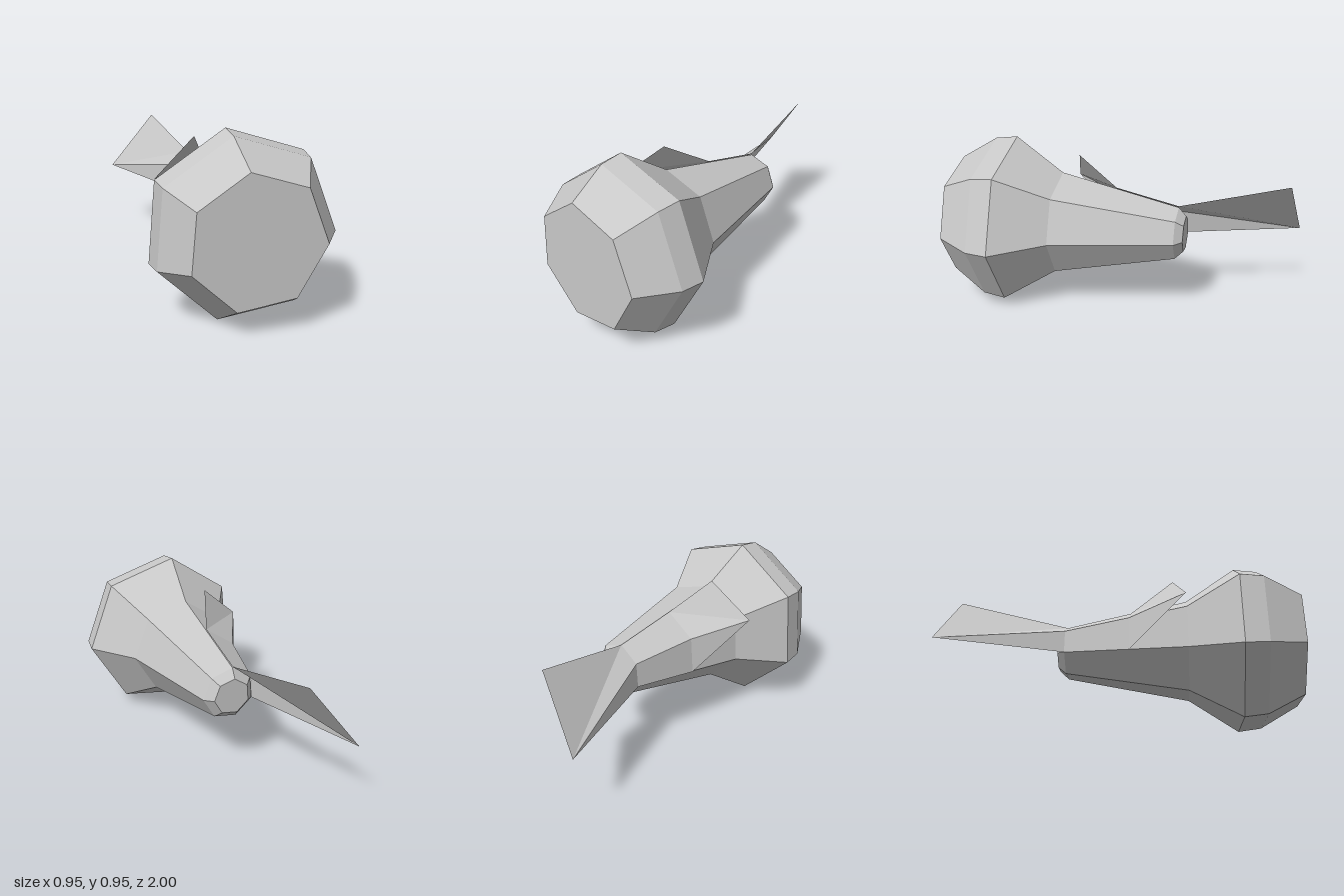
import * as THREE from 'three';

const SIDES = 7;
const CX = -0.016, CY = 0.472;
const START = THREE.MathUtils.degToRad(98.1);

// Corner i of a seven-sided ring
function corner(i, radius, z) {
  const a = START + (i * Math.PI * 2) / SIDES;
  return [CX + radius * Math.cos(a), CY + radius * Math.sin(a), z];
}

// Flat-faced geometry from a list of polygons, each cut as a fan
function facets(polygons) {
  const pos = [];
  for (const p of polygons) {
    for (let i = 1; i < p.length - 1; i++) pos.push(...p[0], ...p[i], ...p[i + 1]);
  }
  const g = new THREE.BufferGeometry();
  g.setAttribute('position', new THREE.Float32BufferAttribute(pos, 3));
  g.computeVertexNormals();
  return g;
}

export function createModel() {
  const group = new THREE.Group();
  const grey = new THREE.MeshStandardMaterial({ color: 0xc8c8c8, flatShading: true });
  grey.name = 'plain grey';
  const greyThin = grey.clone();
  greyThin.name = 'plain grey thin';
  greyThin.side = THREE.DoubleSide;

  // Bulbous body: rings of [z, radius] from the blunt front to the narrow neck
  const profile = [[1, 0.346], [0.79, 0.473], [0.66, 0.49], [0.375, 0.298], [-0.32, 0.151], [-0.365, 0.105]];
  const rings = profile.map(([z, r]) => Array.from({ length: SIDES }, (_, i) => corner(i, r, z)));
  const faces = [rings[0], [...rings[rings.length - 1]].reverse()];
  for (let k = 0; k < rings.length - 1; k++) {
    for (let i = 0; i < SIDES; i++) {
      const j = (i + 1) % SIDES;
      faces.push([rings[k][i], rings[k + 1][i], rings[k + 1][j], rings[k][j]]);
    }
  }
  const body = new THREE.Mesh(facets(faces), grey);
  body.name = 'body';
  group.add(body);

  // Thin band hugging three corners of the neck, flaring off at both ends
  const low = [0, 1, 2].map((i) => corner(i, 0.235, 0.05));
  const high = [0, 1, 2].map((i) => corner(i, 0.158, -0.32));
  const flare = (base, upper, lower) => [
    [base[0], upper, lower],
    [base[0], lower, base[1]],
    [base[1], lower, base[2]],
  ];
  const parts = {
    bandMiddle: [0, 1].map((i) => [low[i], high[i], high[i + 1], low[i + 1]]),
    bandFrontFlap: flare(low, [-0.15, 0.85, 0.3], [-0.38, 0.65, 0.37]),
    bandTail: flare(high, [-0.14, 0.76, -0.935], [-0.41, 0.41, -1]),
  };
  for (const [name, polygons] of Object.entries(parts)) {
    const mesh = new THREE.Mesh(facets(polygons), greyThin);
    mesh.name = name;
    group.add(mesh);
  }
  return group;
}
